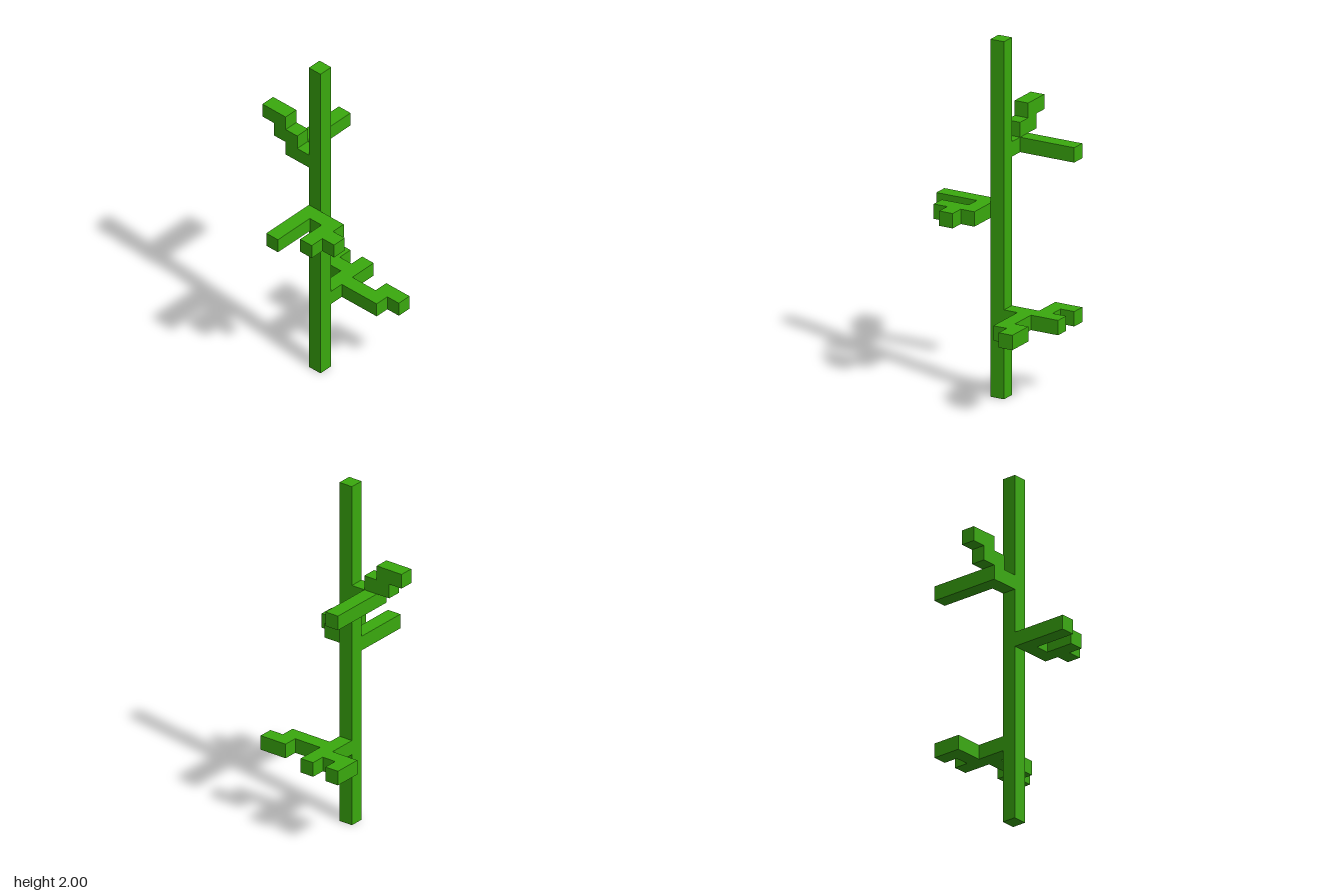
import * as THREE from 'three';

// One grid cell; the trunk is one cell thick and 24 cells tall
const CELL = 1 / 12;

export function createModel() {
  const model = new THREE.Group();
  model.name = 'plant';
  const green = new THREE.MeshStandardMaterial({ color: 0x3aaa0e, flatShading: true });

  const add = (name, geometry) => {
    geometry.scale(CELL, CELL, CELL);
    const mesh = new THREE.Mesh(geometry, green);
    mesh.name = name;
    model.add(mesh);
  };

  // Outline in cells, extruded one cell deep
  const slab = (points) => new THREE.ExtrudeGeometry(
    new THREE.Shape(points.map(([a, b]) => new THREE.Vector2(a, b))),
    { depth: 1, bevelEnabled: false });

  // Flat branch: outline is (x, z), lying between y and y + 1
  const flatBranch = (name, y, points) =>
    add(name, slab(points).rotateX(Math.PI / 2).translate(0, y + 1, 0));

  // Trunk
  add('trunk', new THREE.BoxGeometry(1, 24, 1).translate(0, 12, 0));

  // Lower branch with a front fork and a back fork
  flatBranch('lowerBranch', 5, [
    [0.5, -0.5], [2.5, -0.5], [2.5, -2.5], [4.5, -2.5], [4.5, -1.5], [3.5, -1.5],
    [3.5, -0.5], [4.5, -0.5], [4.5, 0.5], [2.5, 0.5], [2.5, 2.5], [3.5, 2.5],
    [3.5, 4.5], [2.5, 4.5], [2.5, 3.5], [1.5, 3.5], [1.5, 0.5], [0.5, 0.5],
  ]);

  // Middle branch with a hooked twig
  flatBranch('middleBranch', 12, [
    [-0.5, -0.5], [-0.5, 2.5], [-1.5, 2.5], [-1.5, 3.5], [-2.5, 3.5], [-2.5, 2.5],
    [-3.5, 2.5], [-3.5, 1.5], [-1.5, 1.5], [-1.5, 0.5], [-4.5, 0.5], [-4.5, -0.5],
  ]);

  // Upper branch climbing backwards in steps: outline is (z, y)
  add('upperSteppedBranch', slab([
    [-0.5, 16], [-0.5, 17], [-1.5, 17], [-1.5, 18], [-2.5, 18], [-2.5, 19],
    [-4.5, 19], [-4.5, 18], [-3.5, 18], [-3.5, 17], [-2.5, 17], [-2.5, 16],
  ]).rotateY(-Math.PI / 2).translate(0.5, 0, 0));

  // Side arm of the upper branch
  add('upperSideArm', new THREE.BoxGeometry(4, 1, 1).translate(2.5, 16.5, -2));

  return model;
}
